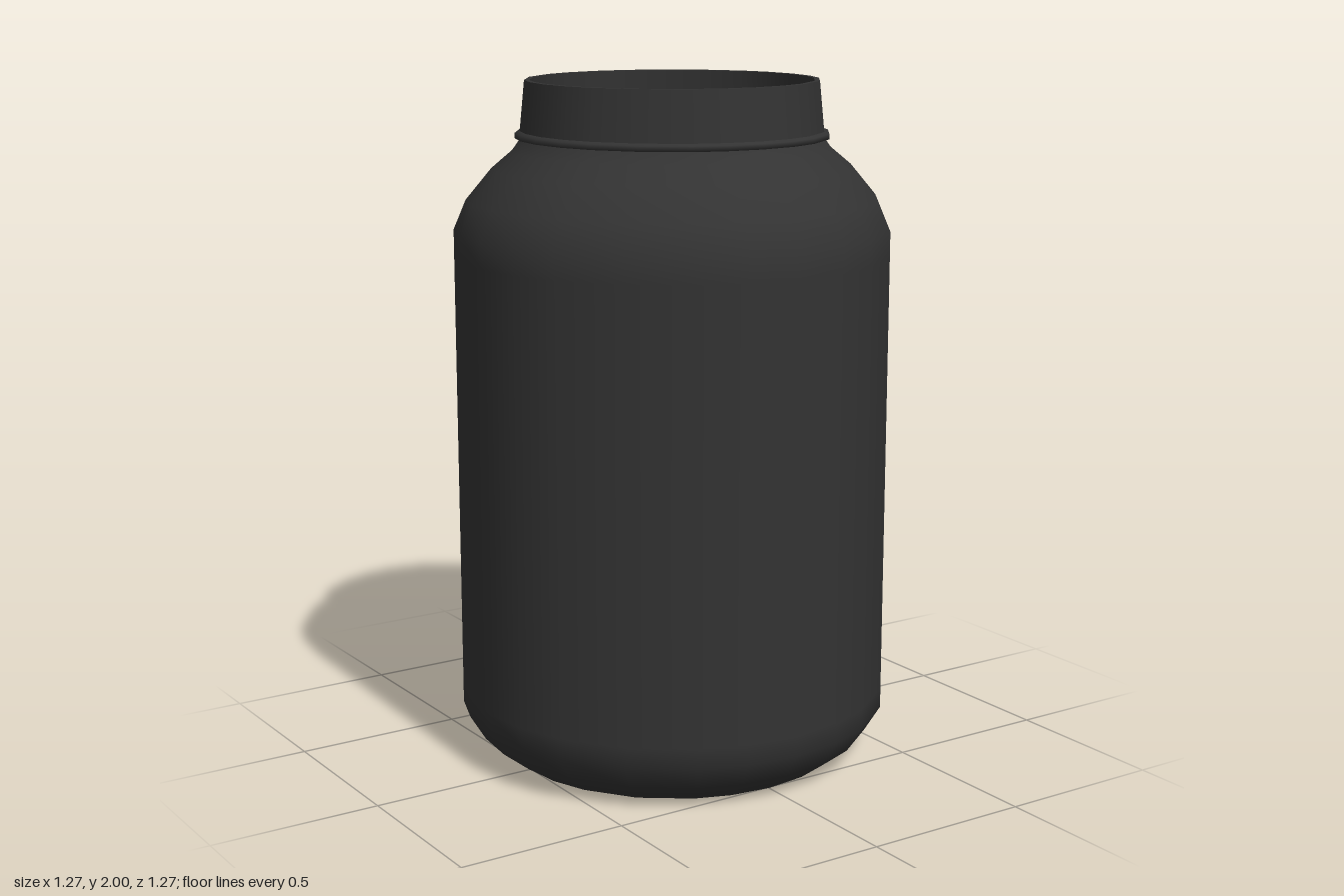
import * as THREE from 'three';

const SIDES = 24;
// Slightly uneven spacing of the facets within each quarter turn, in degrees
const QUARTER = [0, 14, 26.6, 45, 63.4, 76];

const plastic = new THREE.MeshStandardMaterial({ color: 0x333333, side: THREE.DoubleSide });

function lathe(name, profile) {
  const geo = new THREE.LatheGeometry(profile.map(([r, y]) => new THREE.Vector2(r, y)), SIDES);
  const pos = geo.attributes.position;
  const rows = profile.length;
  for (let i = 0; i < pos.count; i++) {
    const k = Math.floor(i / rows) % SIDES;
    const a = THREE.MathUtils.degToRad(Math.floor(k / 6) * 90 + QUARTER[k % 6]);
    const [r, y] = profile[i % rows];
    pos.setXYZ(i, r * Math.sin(a), y, r * Math.cos(a));
  }
  const mesh = new THREE.Mesh(geo, plastic);
  mesh.name = name;
  return mesh;
}

// Level filling with a scooped hollow and a raised lip around it
function filling(level, radius) {
  const cx = -0.22, cz = 0.18, n = 48;
  // [distance from hollow centre, height above level]
  const rings = [[0.04, -0.085], [0.08, -0.07], [0.12, -0.04], [0.15, 0.005], [0.17, 0.035],
    [0.185, 0.035], [0.205, 0.015], [0.235, 0.004], [0.28, 0]];
  const verts = [cx, level - 0.09, cz], index = [];
  const rows = rings.length + 1;
  for (let j = 0; j < rows; j++) {
    for (let i = 0; i < n; i++) {
      const a = (i / n) * Math.PI * 2, dx = Math.sin(a), dz = Math.cos(a);
      const b = cx * dx + cz * dz;
      const edge = -b + Math.sqrt(b * b + radius * radius - cx * cx - cz * cz);
      const [d, h] = j < rings.length ? rings[j] : [edge, 0];
      // uneven lip, flattened towards the back
      const wobble = j < 2 || j >= rings.length ? 1 : 1 + 0.05 * Math.sin(3 * a + 1) + 0.03 * Math.sin(5 * a);
      verts.push(cx + dx * d * wobble, level + h * (1 + 0.25 * Math.sin(2 * a)), cz + dz * d * wobble);
      const p = 1 + j * n + i, q = 1 + j * n + (i + 1) % n;
      if (j === 0) index.push(0, p, q);
      else index.push(p - n, p, q, p - n, q, q - n);
    }
  }
  const geo = new THREE.BufferGeometry();
  geo.setAttribute('position', new THREE.Float32BufferAttribute(verts, 3));
  geo.setIndex(index);
  geo.computeVertexNormals();
  const mesh = new THREE.Mesh(geo, plastic);
  mesh.name = 'filling';
  return mesh;
}

export function createModel() {
  const jar = new THREE.Group();
  jar.name = 'jar';
  jar.add(
    // Outer shell: floor, rounded foot, straight wall, shoulder
    lathe('body', [[0, 0], [0.47, 0], [0.51, 0.003], [0.59, 0.065], [0.636, 0.14], [0.636, 0.2], [0.636, 1.5],
      [0.636, 1.575], [0.6, 1.66], [0.525, 1.75], [0.465, 1.8], [0.44, 1.835]]),
    // Thin bead between shoulder and neck
    lathe('neckBead', [[0.44, 1.833], [0.456, 1.835], [0.456, 1.85], [0.44, 1.856]]),
    lathe('neck', [[0.442, 1.85], [0.427, 2]]),
    lathe('rim', [[0.427, 2], [0.412, 2]]),
    // Inside of the neck and shoulder, running down below the filling
    lathe('innerNeck', [[0.412, 2], [0.422, 1.84]]),
    lathe('innerWall', [[0.422, 1.84], [0.51, 1.735], [0.585, 1.65], [0.62, 1.57], [0.62, 1.45]]),
    filling(1.57, 0.618),
  );
  return jar;
}
